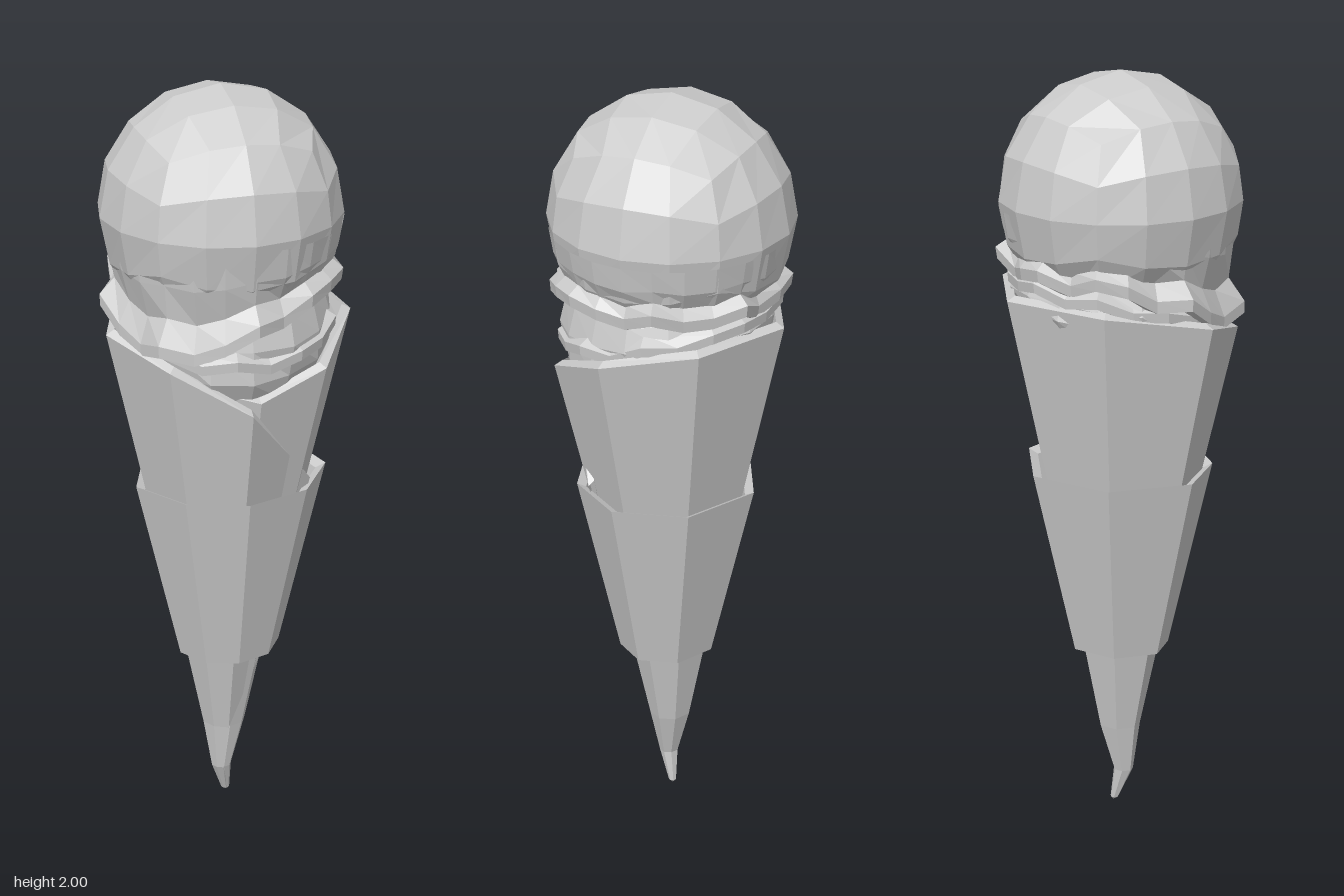
import * as THREE from 'three';

const material = new THREE.MeshStandardMaterial({ color: 0xcccccc, flatShading: true, side: THREE.DoubleSide });

// Skin a list of columns, each a list of [x, y, z] points running downwards
function loft(name, columns, closed) {
  const pos = [];
  const n = columns.length;
  for (let i = 0; i < (closed ? n : n - 1); i++) {
    const p = columns[i], q = columns[(i + 1) % n];
    for (let j = 0; j < p.length - 1; j++) {
      pos.push(...p[j], ...q[j], ...p[j + 1], ...q[j], ...q[j + 1], ...p[j + 1]);
    }
  }
  const geometry = new THREE.BufferGeometry();
  geometry.setAttribute('position', new THREE.Float32BufferAttribute(pos, 3));
  geometry.computeVertexNormals();
  const mesh = new THREE.Mesh(geometry, material);
  mesh.name = name;
  return mesh;
}

// Rim of the rolled wafer, x y z, spiralling from the outer flap to the inner end
const RIM = [
  [0.235, 1.0, -0.03], [0.2, 1.25, 0.21], [0.02, 1.36, 0.3], [-0.18, 1.41, 0.265],
  [-0.295, 1.455, 0.02], [-0.2, 1.46, -0.24], [0.05, 1.455, -0.31], [0.26, 1.41, -0.19],
  [0.3, 1.33, 0.02], [0.2, 1.27, 0.17], [0.0, 1.32, 0.26],
];

function waferCone() {
  const columns = RIM.map(([x, y, z], i) => {
    // the flap curls back to the next corner near the tip
    const [lx, ly, lz] = i === 0 ? RIM[1] : [x, y, z];
    const at = (h, px, py, pz, s = 1) => [px * s * h / py, h, pz * s * h / py];
    const low = at(0.24, lx, ly, lz, 1.08);
    const toe = at(0.1, lx, ly, lz, 1.2);
    toe[2] += 0.012;
    return [
      [x * 0.84, y - 0.12, z * 0.84],
      [x * 0.93, y + 0.012, z * 0.93],
      [x, y, z],
      at(0.48, x, y, z),
      low, toe,
      [x * 0.035, 0.01, z * 0.035 - 0.012],
      [0, 0, -0.015],
    ];
  });
  return loft('waferCone', columns, false);
}

// Faceted wrapper around the middle of the cone
function sleeve() {
  const columns = RIM.slice(1, 9).map(([x, , z]) => [
    [x * 0.72 + 0.01, 0.975, z * 0.72],
    [x * 0.8 + 0.01, 0.988, z * 0.8],
    [x * 0.43 + 0.012, 0.478, z * 0.43],
    [x * 0.36 + 0.01, 0.482, z * 0.36],
  ]);
  return loft('paperSleeve', columns, true);
}

// Ring-by-ring surface; rings(a, i) gives [radius, y] pairs for each direction
function ringed(name, sides, rings) {
  const columns = [];
  for (let i = 0; i < sides; i++) {
    const a = (i / sides) * Math.PI * 2;
    columns.push(rings(a, i).map(([r, y]) => [r * Math.cos(a), y, r * Math.sin(a)]));
  }
  return loft(name, columns, true);
}

// Cube-based ball for the main scoop
function scoop() {
  const geometry = new THREE.BoxGeometry(2, 2, 2, 4, 4, 4);
  const p = geometry.attributes.position;
  const v = new THREE.Vector3();
  for (let i = 0; i < p.count; i++) {
    v.fromBufferAttribute(p, i);
    v.set(...v.toArray().map((c) => Math.tan(c * Math.PI / 4))).normalize();
    p.setXYZ(i, v.x * 0.303, v.y * 0.31, v.z * 0.306);
  }
  geometry.rotateY(Math.PI / 4);
  geometry.computeVertexNormals();
  const mesh = new THREE.Mesh(geometry, material);
  mesh.name = 'scoop';
  mesh.position.set(-0.005, 1.69, 0.006);
  return mesh;
}

export function createModel() {
  const group = new THREE.Group();
  group.name = 'iceCreamCone';
  group.add(waferCone(), sleeve(), scoop());

  // Ruffled lip under the scoop, sagging at the front
  group.add(ringed('scoopLip', 24, (a, i) => {
    const front = Math.max(0, Math.sin(a + 0.25 * Math.cos(a)));
    const w = 0.012 * Math.sin(i * 2.3) + 0.008 * Math.cos(i * 4.1);
    const dip = 0.1 * front ** 4 + 0.03 * Math.max(0, Math.sin(a)) - w;
    return [
      [0.297, 1.67],
      [0.287, 1.61 - dip * 0.3],
      [0.268 + w * 0.5, 1.57 - dip * 0.7],
      [0.288 + w + front * 0.012, 1.545 - dip],
      [0.284 + w + front * 0.016, 1.515 - dip],
      [0.25, 1.505 - dip],
      [0.22, 1.54 - dip],
    ];
  }));

  // Ice cream filling the mouth of the cone
  group.add(ringed('lowerIceCream', 16, (a, i) => {
    const w = 0.008 * Math.sin(i * 1.9);
    const tilt = -0.04 * Math.cos(a) - 0.04 * Math.sin(a);
    return [
      [0.2, 1.56],
      [0.25 + w, 1.5 + tilt * 0.3],
      [0.268 + w, 1.44 + tilt * 0.6],
      [0.265 - w, 1.38 + tilt],
      [0.235, 1.31 + tilt],
      [0.15, 1.18],
      [0, 1.15],
    ];
  }));

  // Thin fold of ice cream between the lip and the wafer
  group.add(ringed('lowerFold', 20, (a, i) => {
    const w = 0.012 * Math.sin(i * 2.7);
    const y = 1.43 - 0.045 * Math.cos(a) - 0.045 * Math.sin(a) + w;
    return [[0.25, y + 0.035], [0.278 + w * 0.6, y + 0.015], [0.276 + w * 0.6, y - 0.01], [0.24, y - 0.02]];
  }));

  return group;
}
